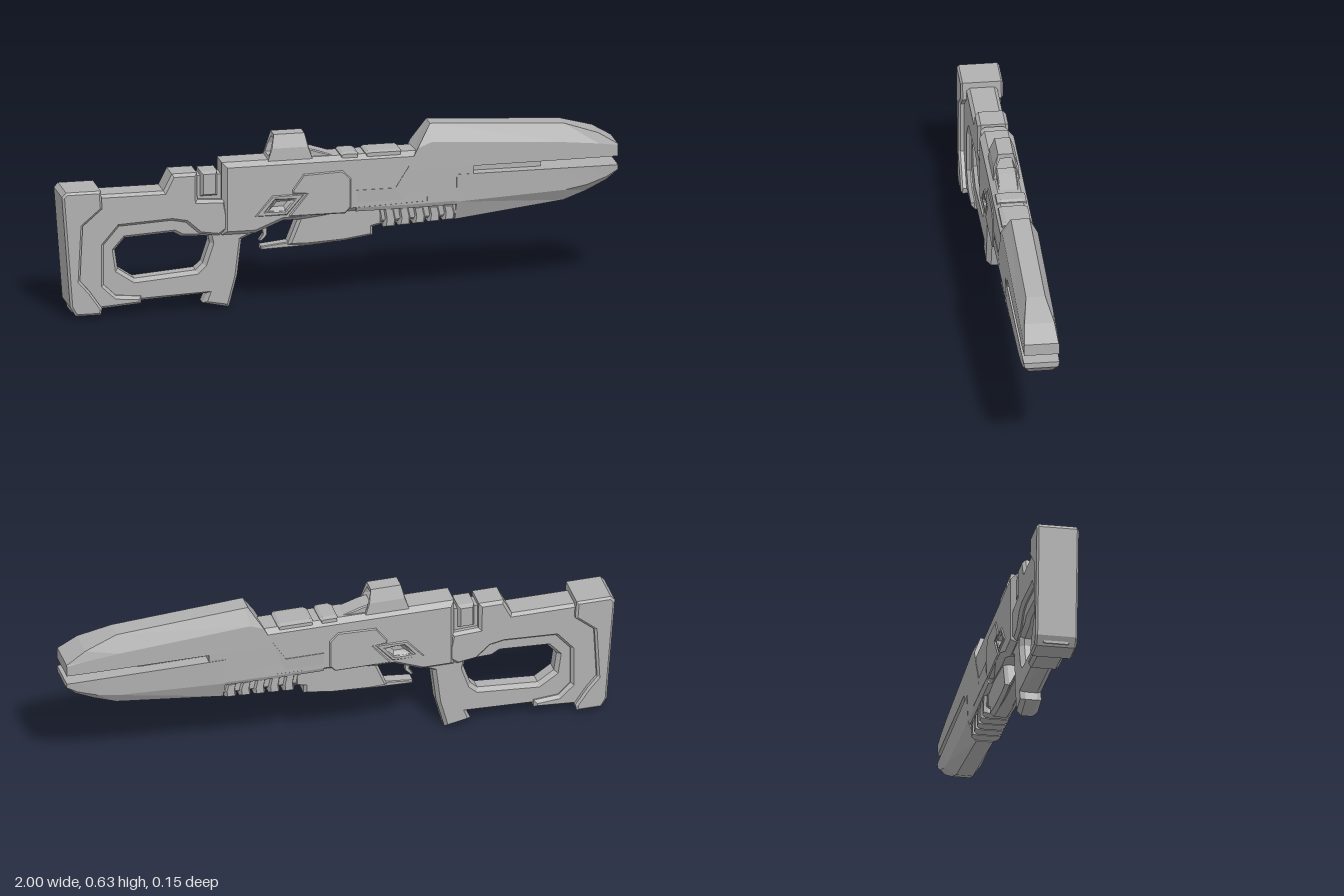
import * as THREE from 'three';

export function createModel() {
  const model = new THREE.Group();
  const grey = new THREE.MeshStandardMaterial({ color: 0xb0b0b0 });

  function add(name, geometry) {
    const mesh = new THREE.Mesh(geometry, grey);
    mesh.name = name;
    model.add(mesh);
    return mesh;
  }

  // Side profile given depth about z = 0, with chamfered edges; holes run counterclockwise
  function plate(name, pts, half, bevel = 0.01, thick = bevel, holes = []) {
    const toVecs = list => list.map(p => new THREE.Vector2(p[0], p[1]));
    const shape = new THREE.Shape(toVecs(pts));
    holes.forEach(h => shape.holes.push(new THREE.Path(toVecs(h))));
    const g = new THREE.ExtrudeGeometry(shape, {
      depth: 2 * (half - thick), bevelEnabled: true,
      bevelSize: bevel, bevelOffset: -bevel, bevelThickness: thick, bevelSegments: 1,
    });
    g.translate(0, 0, -(half - thick));
    return add(name, g);
  }

  function box(name, x0, x1, y0, y1, half) {
    const g = new THREE.BoxGeometry(x1 - x0, y1 - y0, half * 2);
    g.translate((x0 + x1) / 2, (y0 + y1) / 2, 0);
    return add(name, g);
  }

  // Loft of six-sided sections; each section lists bottom, side and top corners
  function loft(name, sections) {
    const rings = sections.map(([b, s, t]) => {
      const flip = p => [p[0], p[1], -p[2]];
      return [b, flip(b), flip(s), flip(t), t, s];
    });
    const out = [];
    const tri = (a, b, c) => out.push(...a, ...b, ...c);
    for (let k = 0; k < rings.length - 1; k++) {
      const a = rings[k], b = rings[k + 1];
      for (let i = 0; i < 6; i++) {
        const j = (i + 1) % 6;
        tri(a[i], a[j], b[j]);
        tri(a[i], b[j], b[i]);
      }
    }
    const first = rings[0], last = rings[rings.length - 1];
    for (let i = 1; i < 5; i++) {
      tri(last[0], last[i], last[i + 1]);
      tri(first[0], first[i + 1], first[i]);
    }
    const g = new THREE.BufferGeometry();
    g.setAttribute('position', new THREE.Float32BufferAttribute(out, 3));
    g.computeVertexNormals();
    return add(name, g);
  }

  // Barrel shrouds above and below the open slot
  loft('upperShroud', [
    [[0.24, 0.472, 0.063], [0.28, 0.55, 0.063], [0.33, 0.63, 0.033]],
    [[0.33, 0.473, 0.063], [0.33, 0.57, 0.063], [0.34, 0.63, 0.033]],
    [[0.81, 0.476, 0.063], [0.81, 0.54, 0.063], [0.81, 0.602, 0.034]],
    [[0.93, 0.477, 0.063], [0.93, 0.528, 0.063], [0.93, 0.565, 0.053]],
    [[1.0, 0.478, 0.062], [1.0, 0.518, 0.062], [1.0, 0.522, 0.06]],
  ]);
  loft('lowerShroud', [
    [[0.42, 0.273, 0.03], [0.42, 0.345, 0.06], [0.42, 0.446, 0.064]],
    [[0.81, 0.32, 0.03], [0.81, 0.365, 0.06], [0.81, 0.446, 0.064]],
    [[0.89, 0.35, 0.032], [0.89, 0.38, 0.06], [0.89, 0.446, 0.064]],
    [[0.96, 0.388, 0.042], [0.96, 0.405, 0.06], [0.96, 0.446, 0.064]],
    [[1.0, 0.425, 0.055], [1.0, 0.43, 0.061], [1.0, 0.446, 0.063]],
  ]);
  box('slotCore', 0.47, 0.73, 0.43, 0.49, 0.022);

  // Fore body with a stepped rear edge, flush with the shrouds
  loft('foreBody', [
    [[0.06, 0.33, 0.053], [0.06, 0.345, 0.06], [0.06, 0.41, 0.0635]],
    [[0.2, 0.33, 0.053], [0.2, 0.345, 0.06], [0.2, 0.41, 0.0635]],
    [[0.24, 0.33, 0.053], [0.24, 0.345, 0.06], [0.24, 0.474, 0.063]],
    [[0.48, 0.335, 0.053], [0.48, 0.35, 0.06], [0.48, 0.474, 0.063]],
  ]);

  // Receiver with a slanted window sunk into each side
  const slant = (x0, x1, y0, y1, lean) => [[x0, y0], [x1, y0], [x1 + lean, y1], [x0 + lean, y1]];
  plate('receiver', [[-0.42, 0.535], [0.31, 0.537], [0.33, 0.44], [0.33, 0.34], [0.04, 0.33],
    [-0.14, 0.31], [-0.2, 0.31], [-0.3, 0.27], [-0.42, 0.27]], 0.061, 0.016, 0.02,
  [slant(-0.237, -0.199, 0.363, 0.38, 0.014)]);
  box('windowFloor', -0.3, -0.1, 0.335, 0.41, 0.0415);
  plate('windowFrame', slant(-0.305, -0.19, 0.335, 0.408, 0.063), 0.065, 0.004, 0.004,
    [slant(-0.268, -0.196, 0.351, 0.392, 0.035)]);
  plate('sidePanel', [[-0.18, 0.335], [-0.118, 0.408], [-0.17, 0.412], [-0.17, 0.425], [-0.13, 0.48],
    [0.01, 0.485], [0.04, 0.455], [0.04, 0.35], [0.02, 0.328], [-0.18, 0.328]], 0.065, 0.004);

  // Lower body, guard tail and trigger
  plate('lowerBody', [[-0.135, 0.33], [0.05, 0.34], [0.16, 0.335], [0.16, 0.27], [0.125, 0.262],
    [0.125, 0.232], [0.02, 0.217], [-0.12, 0.21], [-0.18, 0.215]], 0.037, 0.01, 0.014);
  plate('guardTail', [[-0.1, 0.23], [-0.19, 0.222], [-0.275, 0.213], [-0.275, 0.2],
    [-0.1, 0.206], [0.02, 0.217]], 0.022, 0.003);
  plate('trigger', [[-0.29, 0.3], [-0.25, 0.3], [-0.25, 0.25], [-0.272, 0.228],
    [-0.28, 0.232], [-0.265, 0.255], [-0.27, 0.28]], 0.01, 0.002);

  // Ribbed foregrip
  plate('ribCore', [[0.14, 0.34], [0.43, 0.35], [0.43, 0.288], [0.15, 0.28]], 0.04, 0.008);
  for (let i = 0; i < 5; i++) {
    const x = 0.16 + i * 0.053, y = 0.262 + i * 0.003;
    plate('gripRib', [[x, 0.335], [x + 0.038, 0.335], [x + 0.046, y + 0.03],
      [x + 0.044, y], [x + 0.002, y], [x + 0.006, y + 0.03]], 0.05, 0.007, 0.014);
  }

  // Hooded sight, a tunnel along the barrel
  const hood = new THREE.Shape([[-0.047, 0.53], [0.047, 0.53], [0.044, 0.575], [0.027, 0.622],
    [-0.027, 0.622], [-0.044, 0.575]].map(p => new THREE.Vector2(...p)));
  hood.holes.push(new THREE.Path([[-0.032, 0.545], [0.032, 0.545], [0.032, 0.575],
    [0.02, 0.605], [-0.02, 0.605], [-0.032, 0.575]].map(p => new THREE.Vector2(...p))));
  const hoodGeo = new THREE.ExtrudeGeometry(hood, { depth: 0.16, bevelEnabled: false });
  const hp = hoodGeo.attributes.position;
  // Lean both ends inward toward the top
  for (let i = 0; i < hp.count; i++) {
    const lean = Math.max(0, Math.min(0.025, (hp.getY(i) - 0.53) * 0.35));
    hp.setZ(i, hp.getZ(i) + (hp.getZ(i) > 0.08 ? -lean : lean));
  }
  hoodGeo.rotateY(Math.PI / 2);
  hoodGeo.translate(-0.255, 0, 0);
  hoodGeo.computeVertexNormals();
  add('sightHood', hoodGeo);
  plate('sightRamp', [[-0.12, 0.53], [-0.12, 0.565], [-0.09, 0.56], [-0.05, 0.547], [0.0, 0.53]], 0.035, 0.004);
  for (const [x0, x1] of [[0.005, 0.07], [0.095, 0.225]]) {
    plate('topBlock', [[x0, 0.5], [x0, 0.54], [x0 + 0.01, 0.546], [x1 - 0.01, 0.546],
      [x1, 0.54], [x1, 0.5]], 0.052, 0.005, 0.015);
  }

  // Stock frame and pistol grip around the hand opening
  const opening = [[-0.79, 0.165], [-0.73, 0.125], [-0.51, 0.142], [-0.485, 0.165], [-0.46, 0.24],
    [-0.465, 0.265], [-0.56, 0.268], [-0.59, 0.285], [-0.765, 0.275], [-0.8, 0.235]];
  plate('stockFrame', [[-0.97, 0.44], [-0.62, 0.44], [-0.59, 0.49], [-0.515, 0.49], [-0.505, 0.4],
    [-0.4, 0.4], [-0.28, 0.33], [-0.29, 0.27], [-0.345, 0.245], [-0.36, 0.115], [-0.39, 0],
    [-0.485, 0.02], [-0.47, 0.055], [-0.71, 0.043], [-0.94, 0.03]],
  0.038, 0.012, 0.017, [opening]);

  // Outer stock shell, open toward the grip
  plate('stockShell', [[-0.98, 0.445], [-0.63, 0.445], [-0.6, 0.505], [-0.51, 0.505], [-0.508, 0.405],
    [-0.41, 0.4], [-0.39, 0.3], [-0.43, 0.27], [-0.5, 0.28], [-0.55, 0.325], [-0.6, 0.335],
    [-0.79, 0.325], [-0.845, 0.26], [-0.845, 0.115], [-0.8, 0.072], [-0.71, 0.065],
    [-0.71, 0.038], [-0.96, 0.02]], 0.055, 0.01, 0.012);

  // Butt pad
  plate('buttPad', [[-1, 0.45], [-0.985, 0.466], [-0.86, 0.466], [-0.855, 0.4], [-0.925, 0.34],
    [-0.935, 0.14], [-0.9, 0.1], [-0.855, 0.035], [-0.86, 0.012], [-0.95, 0.012], [-0.97, 0.045]],
  0.075, 0.008, 0.007);

  // Link between stock and receiver
  plate('link', [[-0.495, 0.505], [-0.435, 0.505], [-0.435, 0.415], [-0.495, 0.415]], 0.048, 0.008, 0.015);
  box('linkCore', -0.53, -0.4, 0.39, 0.49, 0.03);

  return model;
}
